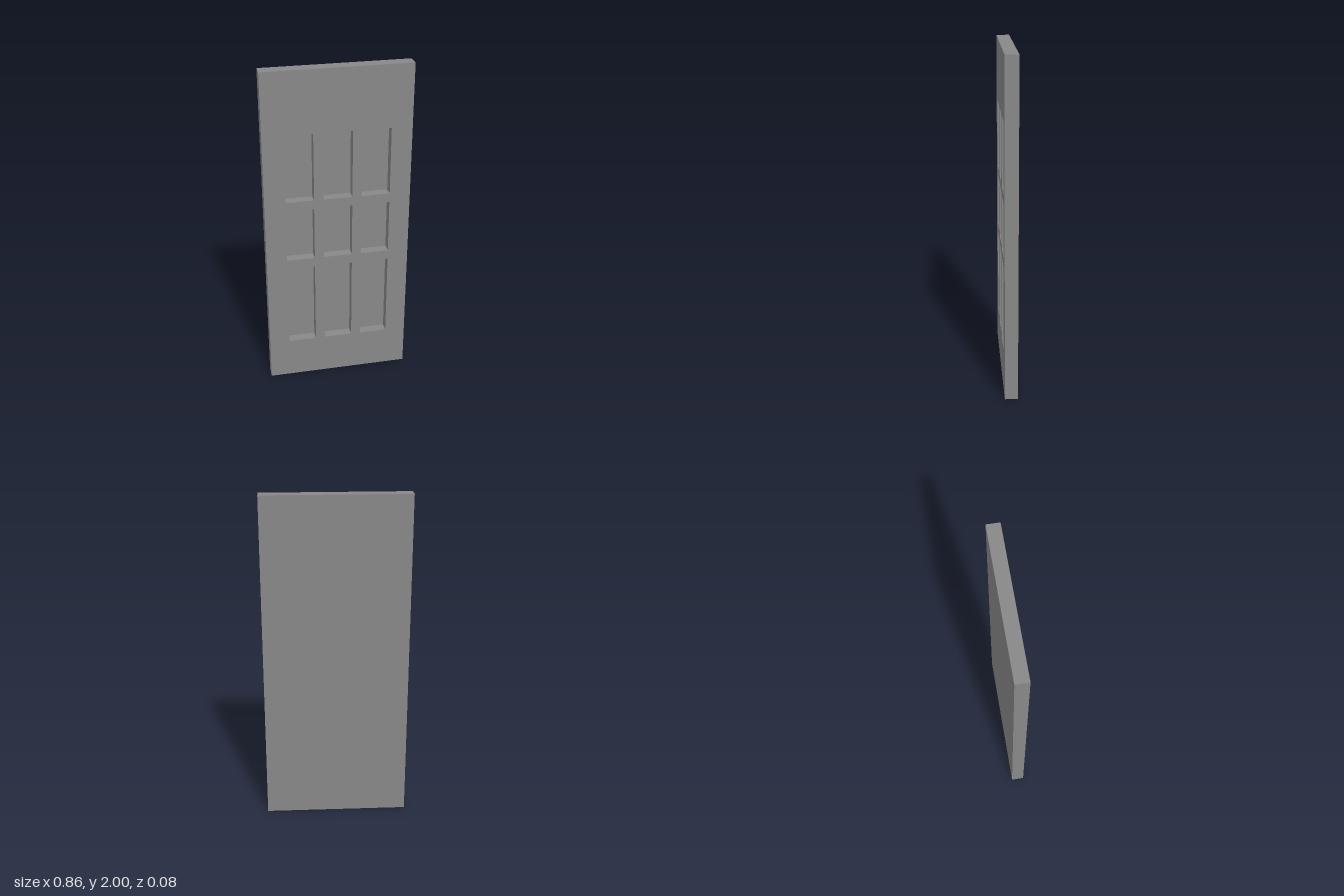
import * as THREE from 'three';

const WIDTH = 0.864, HEIGHT = 2, THICKNESS = 0.077;
const RECESS = 0.057; // depth of the panels cut into the front
const COLUMNS = [[-0.309, -0.142], [-0.085, 0.085], [0.142, 0.309]];
const ROWS = [[0.253, 0.776], [0.835, 1.162], [1.218, 1.628]];

function rectangle(Type, x0, x1, y0, y1) {
  return new Type([[x0, y0], [x1, y0], [x1, y1], [x0, y1]].map(([x, y]) => new THREE.Vector2(x, y)));
}

export function createModel() {
  const door = new THREE.Group();
  door.name = 'door';
  const material = new THREE.MeshStandardMaterial({ color: 0x888888 });

  // Front frame with a 3 x 3 grid of rectangular openings
  const outline = rectangle(THREE.Shape, -WIDTH / 2, WIDTH / 2, 0, HEIGHT);
  for (const [x0, x1] of COLUMNS) {
    for (const [y0, y1] of ROWS) outline.holes.push(rectangle(THREE.Path, x0, x1, y0, y1));
  }
  const frame = new THREE.Mesh(
    new THREE.ExtrudeGeometry(outline, { depth: RECESS, bevelEnabled: false }), material);
  frame.name = 'panelFrame';
  frame.position.z = THICKNESS / 2 - RECESS;
  door.add(frame);

  // Solid back sheet that closes the recesses
  const backDepth = THICKNESS - RECESS;
  const back = new THREE.Mesh(new THREE.BoxGeometry(WIDTH, HEIGHT, backDepth), material);
  back.name = 'backSheet';
  back.position.set(0, HEIGHT / 2, (backDepth - THICKNESS) / 2);
  door.add(back);

  return door;
}
